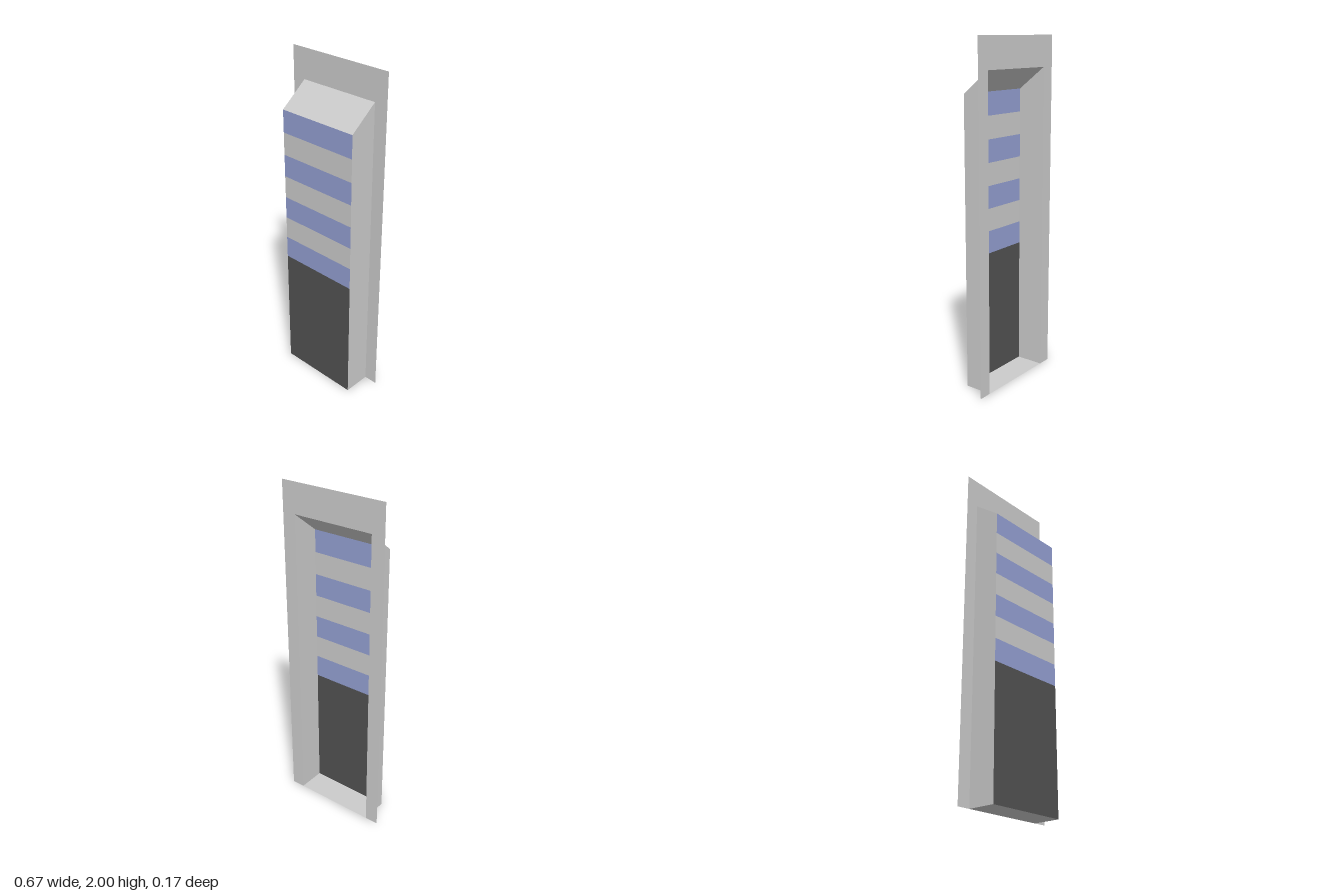
import * as THREE from 'three';

const W = 0.252, FRAME_W = 0.333, H = 2;      // half widths of the casing and frame, full height
const FRONT = 0.083, BACK = -0.083;           // depth limits
const FRONT_TOP = 1.695, BACK_TOP = 1.823;    // the roof slopes up from front to back
const PANEL_TOP = 0.76, BANDS = 7;

const material = (color) =>
  new THREE.MeshStandardMaterial({ color, side: THREE.DoubleSide, flatShading: true });
const grey = material(0xcccccc);
const blue = material(0x94a0d2);
const dark = material(0x525252);

// Flat four-cornered sheet, corners anticlockwise as seen from outside
function sheet(name, mat, a, b, c, d) {
  const geometry = new THREE.BufferGeometry();
  geometry.setAttribute('position', new THREE.Float32BufferAttribute([...a, ...b, ...c, ...d], 3));
  geometry.setIndex([0, 1, 2, 0, 2, 3]);
  geometry.computeVertexNormals();
  const mesh = new THREE.Mesh(geometry, mat);
  mesh.name = name;
  return mesh;
}

const frontStrip = (name, mat, y0, y1) =>
  sheet(name, mat, [-W, y0, FRONT], [W, y0, FRONT], [W, y1, FRONT], [-W, y1, FRONT]);

export function createModel() {
  const model = new THREE.Group();
  model.name = 'wallPanel';

  // Thin back frame around an opening that reaches the floor
  const outline = new THREE.Shape([
    [-FRAME_W, 0], [-W, 0], [-W, BACK_TOP], [W, BACK_TOP],
    [W, 0], [FRAME_W, 0], [FRAME_W, H], [-FRAME_W, H],
  ].map(([x, y]) => new THREE.Vector2(x, y)));
  const frame = new THREE.Mesh(new THREE.ShapeGeometry(outline), grey);
  frame.name = 'backFrame';
  frame.position.z = BACK;
  model.add(frame);

  // Front: dark lower panel with alternating stripes above
  model.add(frontStrip('lowerPanel', dark, 0, PANEL_TOP));
  const step = (FRONT_TOP - PANEL_TOP) / BANDS;
  for (let i = 0; i < BANDS; i++) {
    const y = PANEL_TOP + i * step;
    model.add(frontStrip(i % 2 ? 'greyStripe' : 'blueStripe', i % 2 ? grey : blue, y, y + step));
  }

  // Sides, sloping roof and floor; the back stays open
  model.add(
    sheet('leftSide', grey, [W, 0, FRONT], [W, 0, BACK], [W, BACK_TOP, BACK], [W, FRONT_TOP, FRONT]),
    sheet('rightSide', grey, [-W, 0, BACK], [-W, 0, FRONT], [-W, FRONT_TOP, FRONT], [-W, BACK_TOP, BACK]),
    sheet('slopedRoof', grey, [-W, FRONT_TOP, FRONT], [W, FRONT_TOP, FRONT], [W, BACK_TOP, BACK], [-W, BACK_TOP, BACK]),
    sheet('floor', grey, [-W, 0, BACK], [W, 0, BACK], [W, 0, FRONT], [-W, 0, FRONT]),
  );
  return model;
}
